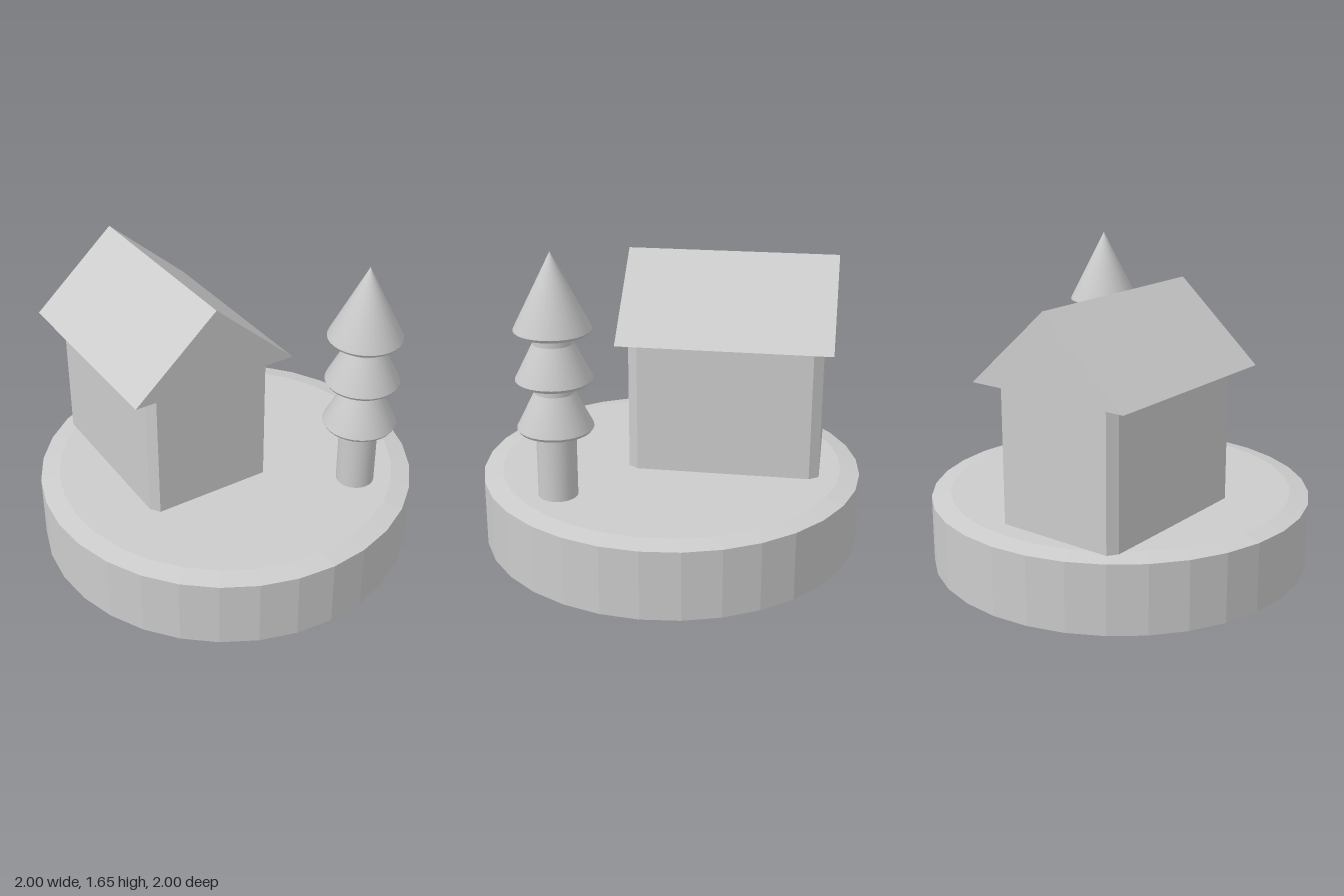
import * as THREE from 'three';
import { toCreasedNormals } from 'three/addons/utils/BufferGeometryUtils.js';

const smooth = new THREE.MeshStandardMaterial({ color: 0xcccccc });
const flat = new THREE.MeshStandardMaterial({ color: 0xcccccc, flatShading: true });

function addMesh(parent, name, geometry, material) {
  const mesh = new THREE.Mesh(geometry, material);
  mesh.name = name;
  parent.add(mesh);
  return mesh;
}

// Profile points are [radius, y], from bottom to top
function lathe(points, sides) {
  return new THREE.LatheGeometry(points.map(([r, y]) => new THREE.Vector2(r, y)), sides);
}

// Outline in x and y, pulled along z
function prism(points, depth) {
  const shape = new THREE.Shape(points.map(([x, y]) => new THREE.Vector2(x, y)));
  return new THREE.ExtrudeGeometry(shape, { depth, bevelEnabled: false });
}

function createHouse() {
  const house = new THREE.Group();
  house.name = 'house';
  house.position.set(-0.21, 0.4, -0.29);

  // Walls: rectangle with cut corners, pulled upward
  const w = 0.35, d = 0.5, cx = 0.035, cz = 0.05;
  const plan = [
    [w - cx, -d], [w, -d + cz], [w, d - cz], [w - cx, d],
    [-w + cx, d], [-w, d - cz], [-w, -d + cz], [-w + cx, -d],
  ];
  const walls = prism(plan, 0.71);
  walls.rotateX(-Math.PI / 2);
  addMesh(house, 'walls', walls, flat);

  // Gable roof with its ridge along z
  const roof = prism([[-0.45, 0], [0.45, 0], [0, 0.4]], 1.096);
  roof.translate(0, 0.708, -0.55);
  addMesh(house, 'roof', roof, flat);
  return house;
}

function createTree() {
  const tree = new THREE.Group();
  tree.name = 'tree';
  tree.position.set(0.5, 0, 0.5);

  const trunk = new THREE.CylinderGeometry(0.1, 0.1, 0.92, 32);
  trunk.translate(0, 0.84, 0);
  addMesh(tree, 'trunk', trunk, smooth);

  // Three equal cones with a small bevelled rim
  const cone = toCreasedNormals(
    lathe([[0, 0], [0.18, 0], [0.19, 0.015], [0.188, 0.022], [0, 0.395]], 32), 0.5);
  for (let i = 0; i < 3; i++) {
    addMesh(tree, 'foliage' + (i + 1), cone, smooth).position.y = 0.755 + i * 0.25;
  }
  return tree;
}

export function createModel() {
  const model = new THREE.Group();
  model.name = 'houseOnDisc';

  // Round base with shallow chamfers above and below
  const profile = [[0, 0], [0.9, 0], [1, 0.02], [1, 0.38], [0.9, 0.4], [0, 0.4]];
  addMesh(model, 'base', lathe(profile, 32), flat);

  model.add(createHouse(), createTree());
  return model;
}
